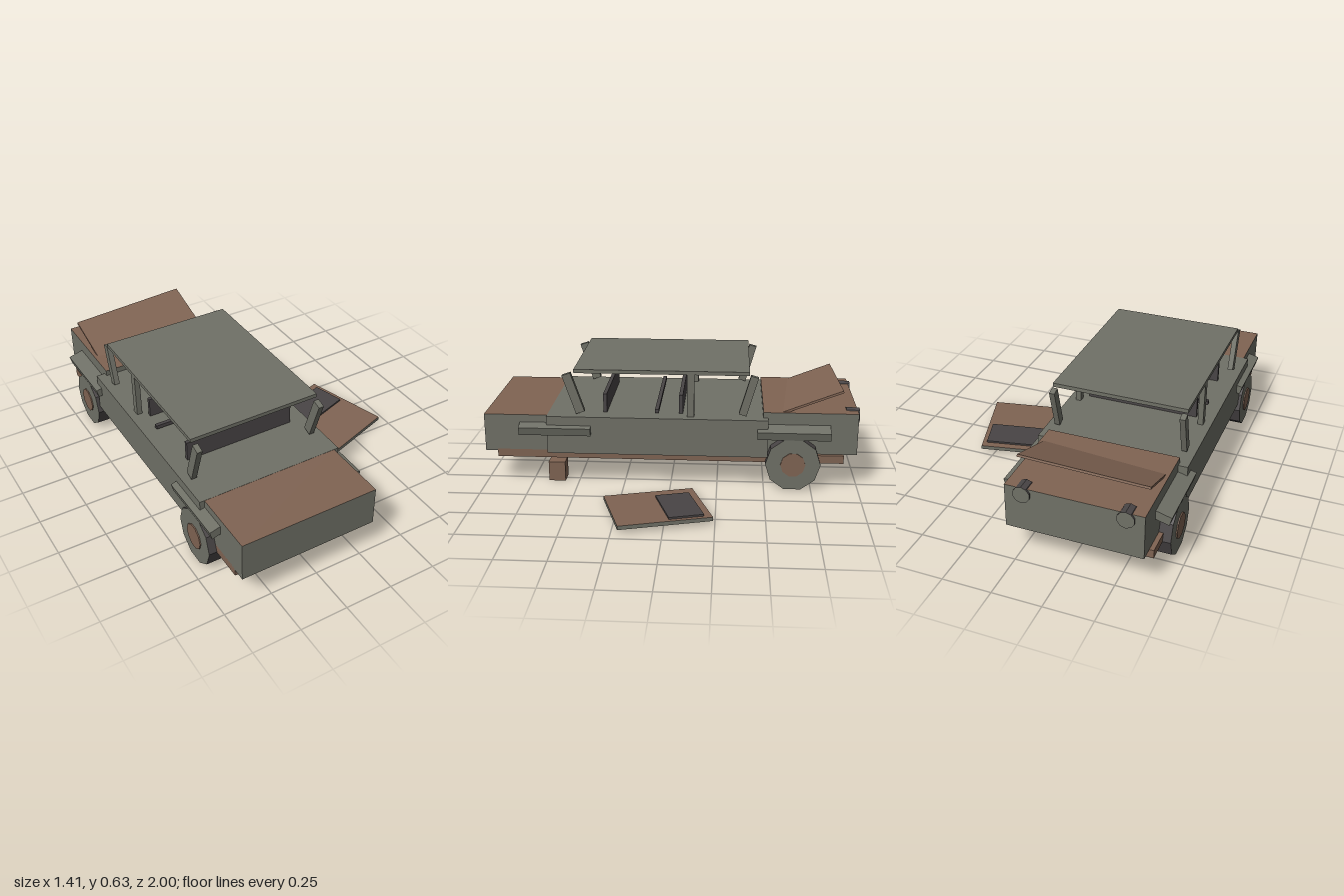
import * as THREE from 'three';

const paint = (name, color) => {
  const m = new THREE.MeshStandardMaterial({ color });
  m.name = name;
  return m;
};

export function createModel() {
  const olive = paint('olive grey', 0x707167);
  const rust = paint('rust brown', 0x806453);
  const charcoal = paint('charcoal', 0x494546);
  const rustTop = [olive, olive, rust, olive, olive, olive];

  const model = new THREE.Group();
  model.name = 'brokenDownCar';
  const car = new THREE.Group();
  car.name = 'car';
  car.position.x = -0.295;
  model.add(car);

  function add(parent, name, geometry, material, x, y, z) {
    const mesh = new THREE.Mesh(geometry, material);
    mesh.name = name;
    mesh.position.set(x, y, z);
    parent.add(mesh);
    return mesh;
  }
  const box = (parent, name, w, h, d, x, y, z, material) =>
    add(parent, name, new THREE.BoxGeometry(w, h, d), material, x, y, z);

  // faceted ten-sided cylinder along y
  function drum(radius, length) {
    const g = new THREE.CylinderGeometry(radius, radius, length, 10).toNonIndexed();
    g.computeVertexNormals();
    return g;
  }

  // chassis and body
  box(car, 'chassis', 0.72, 0.043, 1.855, 0, 0.1665, 0.0075, rust);
  box(car, 'cabin', 0.77, 0.205, 1.175, 0, 0.2825, 0.0725, olive);
  box(car, 'frontBody', 0.72, 0.205, 0.345, 0, 0.2815, 0.8275, rustTop);
  box(car, 'rearBody', 0.675, 0.228, 0.5, 0, 0.301, -0.74, rustTop);

  // rear lid, propped open and knocked askew
  const lidGeometry = new THREE.BoxGeometry(0.635, 0.012, 0.42);
  lidGeometry.translate(0, 0, 0.21);
  const lid = add(car, 'openLid', lidGeometry, rust, -0.01, 0.514, -0.9, rust);
  lid.rotation.set(0.36, 0.037, 0.03);

  // roof, pillars and fenders
  box(car, 'roof', 0.69, 0.02, 0.925, 0, 0.625, 0.05, olive);
  for (const side of [-1, 1]) {
    const x = side * 0.331;
    box(car, 'frontPillar', 0.028, 0.222, 0.048, x, 0.502, 0.518, olive).rotation.x = 0.33;
    box(car, 'middlePillar', 0.028, 0.23, 0.038, x, 0.5, -0.105, olive);
    box(car, 'rearPillar', 0.028, 0.218, 0.042, x, 0.504, -0.41, olive).rotation.x = -0.28;
    for (const z of [0.615, -0.652]) {
      box(car, 'fender', 0.1, 0.045, 0.384, side * 0.361, 0.32, z, olive).rotation.z = -side * 0.27;
    }
    // round lamps
    const lamp = drum(0.043, 0.07);
    lamp.rotateX(Math.PI / 2);
    add(car, 'lamp', lamp, [charcoal, olive, olive], side * 0.25, 0.383, -0.965);
  }

  // seat backs and cross bar
  for (const z of [0.355, -0.052]) {
    box(car, 'seatBack', 0.585, 0.11, 0.02, 0, 0.433, z, charcoal);
  }
  box(car, 'crossBar', 0.635, 0.02, 0.02, 0, 0.405, 0.075, charcoal);

  // three wheels; the fourth is missing
  for (const [side, z] of [[-1, 0.62], [-1, -0.65], [1, -0.65]]) {
    const wheel = new THREE.Group();
    wheel.name = 'wheel';
    wheel.position.set(side * 0.36, 0.148, z);
    car.add(wheel);
    const tire = drum(0.146, 0.08);
    tire.rotateZ(Math.PI / 2);
    add(wheel, 'tire', tire, [charcoal, olive, olive], 0, 0, 0);
    const hub = drum(0.066, 0.05);
    hub.rotateZ(Math.PI / 2);
    add(wheel, 'hub', hub, rust, side * 0.021, 0, 0);
  }

  // block standing in for the missing wheel
  box(model, 'supportBlock', 0.09, 0.108, 0.09, 0, 0.056, 0.62, rust);

  // detached door lying on the ground
  const door = new THREE.Group();
  door.name = 'fallenDoor';
  door.position.set(0.43, 0.024, 0.047);
  door.rotation.set(0, 0.285, 0.05);
  model.add(door);
  box(door, 'doorPanel', 0.427, 0.02, 0.476, 0, 0, 0, rustTop);
  box(door, 'doorWindow', 0.32, 0.012, 0.178, 0.03, 0.014, -0.11, charcoal);

  return model;
}
